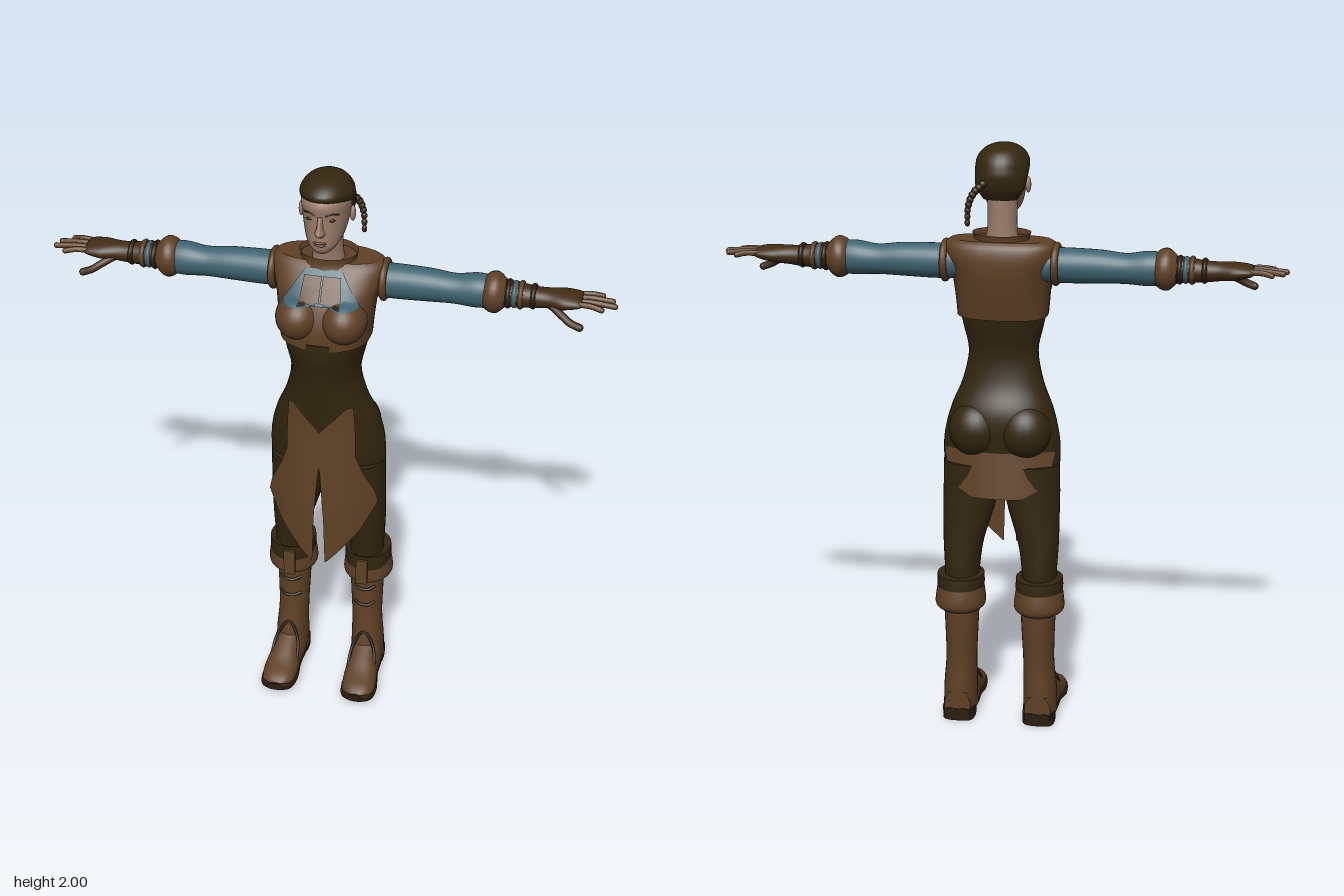
import * as THREE from 'three';

const mat = (name, color, side = THREE.FrontSide) => {
  const m = new THREE.MeshStandardMaterial({ color, side });
  m.name = name;
  return m;
};
const cloth = mat('dark cloth', 0x32260f);
const leather = mat('brown leather', 0x5f4126, THREE.DoubleSide);
const teal = mat('teal shirt', 0x3e6370, THREE.DoubleSide);
const skin = mat('skin', 0x9a7d6b);
const hairMat = mat('hair', 0x35270f);
const gloveMat = mat('glove leather', 0x422c15);
const soleMat = mat('sole leather', 0x2b1d0e, THREE.DoubleSide);
const lipMat = mat('lips', 0x74504a);

function mesh(parent, name, geo, material) {
  const m = new THREE.Mesh(geo, material);
  m.name = name;
  parent.add(m);
  return m;
}

// Smooth a short list of cross-sections with Catmull-Rom steps
function dense(rows, steps = 4) {
  const out = [];
  const at = i => rows[Math.min(Math.max(i, 0), rows.length - 1)];
  for (let i = 0; i < rows.length - 1; i++)
    for (let s = 0; s < steps; s++) {
      const t = s / steps;
      out.push(rows[i].map((b, k) => {
        const a = at(i - 1)[k], c = at(i + 1)[k], d = at(i + 2)[k];
        return b + 0.5 * t * (c - a + t * (2 * a - 5 * b + 4 * c - d + t * (3 * (b - c) + d - a)));
      }));
    }
  out.push(rows[rows.length - 1]);
  return out;
}

// Skin rows [height, centre x, centre z, half width, front z, back z]; pow < 1 is boxier
function loft(rows, { pow = 1, steps = 4, caps = true, n = 28 } = {}) {
  const R = dense(rows, steps), pos = [], idx = [];
  const ring = ([y, cx, cz, rx, f, b]) => {
    for (let j = 0; j < n; j++) {
      const a = j / n * Math.PI * 2, s = Math.sin(a), c = Math.cos(a);
      const cc = Math.abs(c) ** pow;
      pos.push(cx + rx * Math.sign(s) * Math.abs(s) ** pow, y, cz + (c > 0 ? f - cz : b - cz) * cc);
    }
  };
  R.forEach(ring);
  for (let i = 0; i < R.length - 1; i++)
    for (let j = 0; j < n; j++) {
      const a = i * n + j, b = i * n + (j + 1) % n;
      idx.push(a, b, b + n, a, b + n, a + n);
    }
  if (caps) for (const top of [false, true]) {
    const r = top ? R[R.length - 1] : R[0], start = pos.length / 3;
    ring(r);
    pos.push(r[1], r[0], (r[4] + r[5]) / 2);
    for (let j = 0; j < n; j++) {
      const a = start + j, b = start + (j + 1) % n;
      idx.push(start + n, top ? a : b, top ? b : a);
    }
  }
  const g = new THREE.BufferGeometry();
  g.setAttribute('position', new THREE.Float32BufferAttribute(pos, 3));
  g.setIndex(idx);
  g.computeVertexNormals();
  return g;
}

// Thin sheet between two x limits at each height, pressed onto z = depth(x, y)
function sheet(y0, y1, inner, outer, depth, nu = 10, nv = 28) {
  const g = new THREE.PlaneGeometry(1, 1, nu, nv), p = g.attributes.position;
  for (let i = 0; i < p.count; i++) {
    const y = y0 + (p.getY(i) + 0.5) * (y1 - y0), a = inner(y), b = outer(y);
    const x = a + (p.getX(i) + 0.5) * (b - a);
    p.setXYZ(i, x, y, depth(x, y));
  }
  g.computeVertexNormals();
  return g;
}

// Piecewise-linear curve through [y, value] pairs, y ascending
const curve = pts => y => {
  for (let i = 1; i < pts.length; i++)
    if (y <= pts[i][0] || i === pts.length - 1) {
      const [a, va] = pts[i - 1], [b, vb] = pts[i];
      return va + (vb - va) * Math.min(Math.max((y - a) / (b - a), 0), 1);
    }
};

function ball(parent, name, material, [x, y, z], [rx, ry, rz]) {
  const m = mesh(parent, name, new THREE.SphereGeometry(1, 24, 16), material);
  m.position.set(x, y, z);
  m.scale.set(rx, ry, rz);
  return m;
}

function tube(parent, name, material, pts, r, seg = 16) {
  const c = new THREE.CatmullRomCurve3(pts.map(p => new THREE.Vector3(...p)));
  mesh(parent, name, new THREE.TubeGeometry(c, seg, r, 8), material);
  const e = pts[pts.length - 1];
  ball(parent, name + 'Tip', material, e, [r, r, r]);
}

// Add a built left side and its mirror image
function pair(root, name, build) {
  const left = new THREE.Group();
  build(left);
  left.name = 'left' + name;
  const right = left.clone();
  right.name = 'right' + name;
  right.scale.x = -1;
  root.add(left, right);
}

const VEST = [[1.43, 0, -.02, .15, .13, -.12], [1.5, 0, -.02, .156, .128, -.135], [1.58, 0, -.03, .166, .098, -.15],
  [1.635, 0, -.05, .182, .06, -.152], [1.675, 0, -.055, .185, .028, -.142], [1.692, 0, -.055, .165, .01, -.125]];
const VPOW = 0.8, BUST = [[.075, 1.52, .068], [.076, .077, .087]];

// Front depth of the vest, including the bust
function chestZ(x, y) {
  const f = k => curve(VEST.map(r => [r[0], r[k]]))(y);
  const s = Math.min(Math.abs(x) / f(3), 1) ** (1 / VPOW), cz = f(2);
  const z = cz + (f(4) - cz) * Math.sqrt(1 - s * s) ** VPOW;
  const [c, r] = BUST, q = 1 - ((Math.abs(x) - c[0]) / r[0]) ** 2 - ((y - c[1]) / r[1]) ** 2;
  return Math.max(z, q > 0 ? c[2] + r[2] * Math.sqrt(q) : -1);
}

function torso(root) {
  mesh(root, 'bodiceAndHips', loft([[.84, 0, -.04, .15, .02, -.1], [.9, 0, -.04, .192, .045, -.128], [.98, 0, -.04, .199, .06, -.135],
    [1.05, 0, -.035, .19, .07, -.142], [1.12, 0, -.03, .17, .08, -.135], [1.2, 0, -.02, .137, .092, -.1],
    [1.3, 0, -.01, .117, .108, -.086], [1.39, 0, -.01, .134, .13, -.107], [1.45, 0, -.01, .147, .134, -.119]]), cloth);
  mesh(root, 'vest', loft(VEST, { pow: VPOW }), leather);
  mesh(root, 'collar', loft([[1.665, 0, -.045, .105, .038, -.128], [1.69, 0, -.045, .092, .03, -.12],
    [1.712, 0, -.045, .097, .03, -.124]], { caps: false }), leather);
  mesh(root, 'neck', loft([[1.66, 0, -.04, .058, .01, -.09], [1.73, 0, -.035, .049, .013, -.085], [1.83, 0, -.03, .05, .03, -.085]]), skin);
  pair(root, 'TorsoSide', g => {
    ball(g, 'bust', leather, ...BUST);
    ball(g, 'buttock', cloth, [.083, 1.045, -.08], [.09, .095, .082]);
    mesh(g, 'shirtInset', sheet(1.58, 1.678, () => 0, curve([[1.58, .128], [1.678, .06]]), (x, y) => chestZ(x, y) + .006), teal);
    mesh(g, 'chestFlap', sheet(1.59, 1.663, () => .002, curve([[1.59, .068], [1.663, .06]]), (x, y) => chestZ(x, y) + .013), leather);
    mesh(g, 'flapSeam', sheet(1.585, 1.592, () => .012, () => .069, (x, y) => chestZ(x, y) + .014, 10, 2), soleMat);
    const hole = mesh(g, 'armholeTrim', new THREE.TorusGeometry(.06, .012, 10, 28), leather);
    hole.position.set(.183, 1.615, -.06);
    hole.rotation.y = Math.PI / 2;
    // Front skirt panel, split down the middle and wrapping the thigh
    mesh(g, 'frontSkirt', sheet(.575, 1.195,
      curve([[.575, .022], [.75, .017], [.93, .004], [.96, 0], [1.1, 0], [1.195, .09]]),
      curve([[.575, .026], [.61, .06], [.7, .137], [.8, .19], [.85, .178], [.93, .142], [1, .118], [1.1, .116], [1.195, .11]]),
      (x, y) => curve([[.575, .123], [.8, .122], [1.1, .106], [1.195, .106]])(y) - 2.4 * x * x, 12, 50), leather);
    mesh(g, 'backSkirt', sheet(.825, .98, () => 0, curve([[.825, .09], [.87, .165], [.98, .19]]),
      (x, y) => curve([[.825, -.16], [.98, -.138]])(y) + 1.6 * x * x), leather);
  });
}

function leg(g) {
  mesh(g, 'trouserLeg', loft([[.45, .134, -.07, .056, -.005, -.14], [.55, .133, -.065, .06, .006, -.142], [.65, .128, -.06, .07, .022, -.136],
    [.8, .107, -.05, .092, .042, -.131], [.93, .1, -.045, .097, .055, -.135]]), cloth);
  mesh(g, 'bootShaft', loft([[.03, .14, -.08, .058, .03, -.15], [.12, .139, -.075, .057, .012, -.15], [.22, .135, -.08, .053, -.012, -.145],
    [.34, .133, -.083, .057, -.018, -.152], [.44, .133, -.083, .062, -.015, -.155]]), leather);
  mesh(g, 'bootCuff', loft([[.405, .135, -.085, .07, -.01, -.16], [.42, .136, -.085, .085, .006, -.178], [.45, .136, -.085, .085, .006, -.18],
    [.505, .136, -.08, .077, .002, -.168]]), leather);
  mesh(g, 'cuffLining', loft([[.47, .136, -.08, .08, .006, -.172], [.5, .136, -.08, .081, .007, -.172], [.528, .136, -.08, .08, .006, -.17]]), cloth);
  const tab = mesh(g, 'cuffTab', new THREE.BoxGeometry(.04, .1, .009), leather);
  tab.position.set(.13, .465, .01);
  // Foot lofted from heel to toe: front and back of the rows become underside and top
  const foot = loft([[-.145, .14, -.05, .045, -.02, -.11], [-.05, .14, -.05, .058, -.02, -.15], [.03, .142, -.045, .056, -.02, -.12],
    [.1, .145, -.04, .06, -.015, -.085], [.155, .146, -.035, .052, -.015, -.066], [.183, .146, -.035, .025, -.02, -.05]], { pow: .85 });
  mesh(g, 'bootFoot', foot.rotateX(Math.PI / 2), leather);
  const sole = loft([[-.15, .14, -.03, .045, -.02, -.045], [-.05, .14, -.03, .058, -.02, -.042], [.03, .142, -.025, .056, -.015, -.038],
    [.1, .145, -.02, .064, -.006, -.042], [.16, .146, -.025, .056, -.008, -.045], [.188, .146, -.032, .028, -.02, -.048]], { pow: .6 });
  mesh(g, 'bootSole', sole.rotateX(Math.PI / 2), soleMat);
  mesh(g, 'bootHeel', loft([[0, .14, -.1, .055, -.045, -.151], [.04, .14, -.1, .056, -.04, -.151]], { pow: .6 }), soleMat);
  // Lacing straps and instep seam
  for (const y of [.3, .37])
    tube(g, 'bootLace', soleMat, [[.098, y + .006, -.03], [.12, y, -.016], [.15, y, -.016], [.168, y + .006, -.03]], .005);
  tube(g, 'instepSeam', soleMat, [[.092, .06, .07], [.102, .13, .015], [.138, .185, -.004], [.178, .13, .015], [.19, .06, .07]], .005, 24);
}

function arm(root) {
  const g = new THREE.Group();
  g.name = 'arm';
  g.position.set(0, 1.612, -.06);
  root.add(g);
  // Rows run outwards along x: [x, drop, 0, half height, front z, back z]
  const along = (name, rows, material, opt) => mesh(g, name,
    loft(rows.map(([x, drop, ry, rz]) => [x, drop, 0, ry, rz, -rz]), opt).rotateZ(-Math.PI / 2), material);
  along('sleeve', [[.14, 0, .056, .056], [.22, 0, .058, .055], [.33, 0, .055, .052], [.41, .003, .05, .048], [.48, 0, .057, .054], [.53, 0, .054, .05]], teal);
  along('bracerFlare', [[.505, 0, .05, .05], [.525, 0, .066, .063], [.55, 0, .068, .062], [.575, 0, .046, .046]], leather);
  along('glove', [[.55, 0, .046, .046], [.61, 0, .041, .042], [.67, .002, .035, .038], [.715, 0, .031, .04], [.76, -.002, .029, .053],
    [.805, -.005, .021, .051], [.82, -.005, .014, .046]], gloveMat);
  for (const [x, r, m] of [[.585, .048, soleMat], [.605, .045, teal], [.625, .047, leather], [.665, .042, soleMat]])
    along('wristStrap', [[x - .008, 0, r - .004, r - .002], [x, 0, r, r + .003], [x + .008, 0, r - .004, r - .002]], m);
  for (const [z0, z1, x] of [[.033, .046, .885], [.012, .016, .925], [-.012, -.016, .915], [-.034, -.046, .88]])
    tube(g, 'finger', leather, [[.79, .006, z0], [.85, .008, (z0 + z1) / 2], [x, .002, z1]], .0095);
  tube(g, 'thumb', gloveMat, [[.725, -.012, .028], [.765, -.032, .052], [.79, -.047, .062], [.822, -.06, .064]], .0125);
}

function head(root) {
  const g = new THREE.Group();
  g.name = 'head';
  root.add(g);
  mesh(g, 'face', loft([[1.758, 0, .045, .024, .076, .015], [1.775, 0, .035, .043, .09, -.02], [1.8, 0, .015, .059, .094, -.05],
    [1.84, 0, -.01, .071, .092, -.085], [1.885, 0, -.015, .078, .089, -.1], [1.93, 0, -.015, .08, .092, -.105], [1.97, 0, -.02, .06, .06, -.085]]), skin);
  mesh(g, 'hair', loft([[1.825, 0, -.075, .055, -.04, -.1], [1.86, 0, -.07, .078, -.025, -.122], [1.9, 0, -.05, .086, .02, -.132],
    [1.93, 0, -.025, .088, .074, -.128], [1.955, 0, -.02, .083, .091, -.118], [1.98, 0, -.02, .063, .066, -.095],
    [1.994, 0, -.02, .036, .03, -.062], [2, 0, -.02, .008, -.01, -.03]]), hairMat);
  // Nose, lips and chin
  mesh(g, 'nose', loft([[1.828, 0, .08, .014, .103, .07], [1.84, 0, .08, .0175, .119, .07], [1.858, 0, .08, .011, .112, .07],
    [1.895, 0, .08, .008, .094, .07]]), skin);
  ball(g, 'upperLip', lipMat, [0, 1.804, .09], [.022, .0045, .009]);
  ball(g, 'lowerLip', lipMat, [0, 1.796, .089], [.019, .005, .009]);
  pair(g, 'FaceSide', s => {
    ball(s, 'eye', soleMat, [.034, 1.88, .0755], [.013, .0045, .006]);
    tube(s, 'brow', hairMat, [[.016, 1.898, .087], [.036, 1.903, .079], [.055, 1.897, .063]], .003);
    ball(s, 'ear', skin, [.083, 1.865, -.018], [.009, .027, .016]);
  });
  // Braid hanging behind the left ear
  const path = new THREE.CatmullRomCurve3([[.05, 1.88, -.115], [.078, 1.852, -.132], [.094, 1.81, -.135], [.099, 1.755, -.124]]
    .map(p => new THREE.Vector3(...p)));
  for (let i = 0; i < 9; i++) {
    const p = path.getPoint(i / 8), r = .0145 - .0007 * i;
    ball(g, 'braidLink', hairMat, [p.x, p.y, p.z], [r, .013, r]);
  }
}

export function createModel() {
  const root = new THREE.Group();
  root.name = 'figure';
  torso(root);
  head(root);
  pair(root, 'Leg', leg);
  pair(root, 'Arm', arm);
  return root;
}
